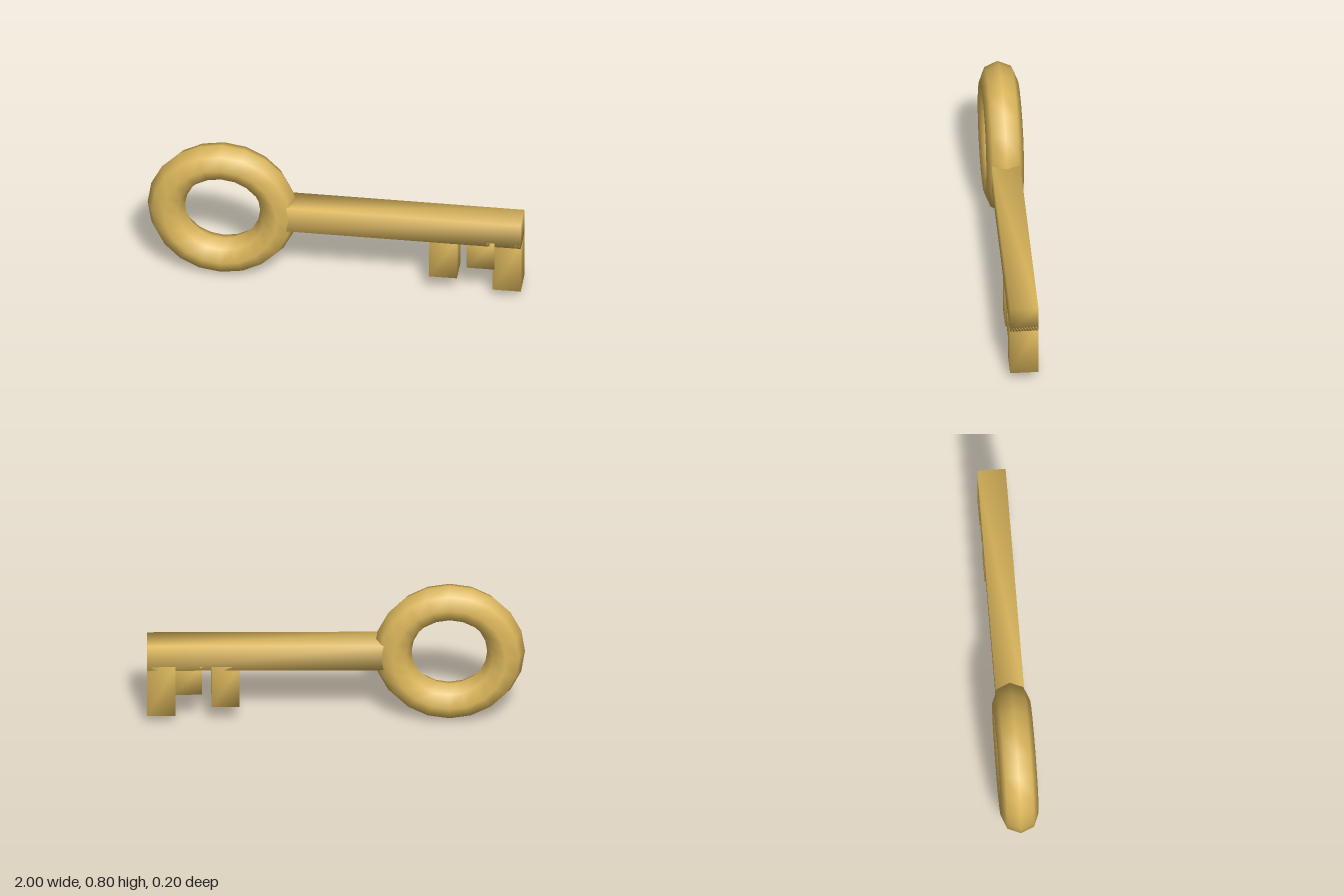
import * as THREE from 'three';
import { mergeVertices } from 'three/addons/utils/BufferGeometryUtils.js';

// Box whose corners share normals, so its faces shade softly into each other
function softBox(x0, x1, y0, y1, depth) {
  let geo = new THREE.BoxGeometry(x1 - x0, y1 - y0, depth);
  geo.deleteAttribute('uv');
  geo.deleteAttribute('normal');
  geo = mergeVertices(geo);
  geo.computeVertexNormals();
  geo.translate((x0 + x1) / 2, (y0 + y1) / 2, 0);
  return geo;
}

export function createModel() {
  const group = new THREE.Group();
  group.name = 'key';
  const gold = new THREE.MeshStandardMaterial({ color: 0xdcb75c });
  gold.name = 'gold';

  const add = (name, geo) => {
    const mesh = new THREE.Mesh(geo, gold);
    mesh.name = name;
    group.add(mesh);
    return mesh;
  };

  // Ring handle
  add('ringHandle', new THREE.TorusGeometry(0.3, 0.1, 8, 20)).position.set(-0.6, 0.4, 0);

  // Shaft, its left end buried in the ring
  const depth = 0.15;
  add('shaft', softBox(-0.3, 1, 0.327, 0.476, depth));

  // Teeth hanging below the shaft: left edge and bottom height
  [[0.51, 0.105], [0.71, 0.18], [0.85, 0.05]].forEach(([x, bottom], i) => {
    add(`tooth${i + 1}`, softBox(x, x + 0.15, bottom, 0.35, depth));
  });

  return group;
}
